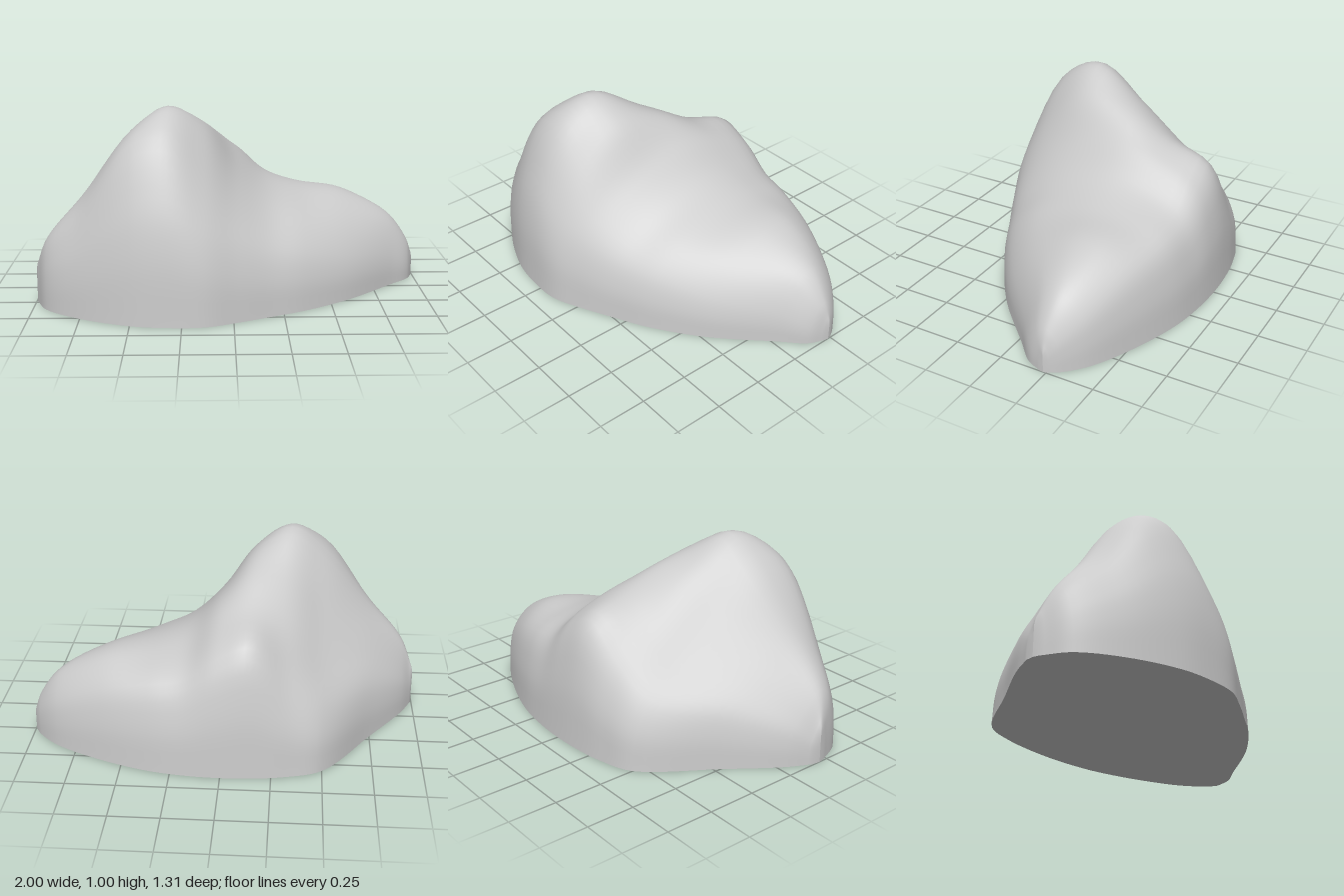
import * as THREE from 'three';

// Where the heights sit across each section, as fractions from back foot to front foot
const ACROSS = [0.09, 0.27, 0.45, 0.65, 0.82, 0.94];

// Cross-sections of the boulder: x, back foot z, front foot z, heights
const sections = [
  [-0.75, -0.22, 0.51, [0.27, 0.38, 0.48, 0.56, 0.51, 0.35]],
  [-0.5, -0.56, 0.62, [0.34, 0.49, 0.67, 0.88, 0.85, 0.57]],
  [-0.32, -0.625, 0.65, [0.48, 0.66, 0.84, 1, 0.89, 0.59]],
  [-0.14, -0.65, 0.645, [0.65, 0.74, 0.86, 0.9, 0.73, 0.48]],
  [0.02, -0.655, 0.58, [0.59, 0.7, 0.745, 0.69, 0.56, 0.39]],
  [0.18, -0.645, 0.5, [0.47, 0.57, 0.6, 0.55, 0.45, 0.32]],
  [0.36, -0.615, 0.405, [0.43, 0.51, 0.525, 0.48, 0.4, 0.28]],
  [0.6, -0.535, 0.23, [0.37, 0.47, 0.48, 0.425, 0.335, 0.22]],
  [0.85, -0.41, -0.02, [0.24, 0.325, 0.355, 0.325, 0.25, 0.16]],
];

const AROUND = 40;
const ALONG = 72;

// Smooth curve over one section, with a steep wall point next to each foot
function sectionPoints([x, back, front, heights]) {
  const top = heights.map((y, k) => new THREE.Vector3(x, y, THREE.MathUtils.lerp(back, front, ACROSS[k])));
  const wall = (footZ, shoulder) =>
    new THREE.Vector3(x, shoulder.y * 0.55, THREE.MathUtils.lerp(footZ, shoulder.z, 0.2));
  const curve = new THREE.CatmullRomCurve3([
    new THREE.Vector3(x, 0, back),
    wall(back, top[0]),
    ...top,
    wall(front, top[top.length - 1]),
    new THREE.Vector3(x, 0, front),
  ]);
  return Array.from({ length: AROUND + 1 }, (_, j) => curve.getPoint(j / AROUND));
}

// Shrunken copy of a section that rounds off an end
function endSection(points, x, zCentre, zScale, yScale) {
  return points.map((p) => new THREE.Vector3(x, p.y * yScale, zCentre + (p.z - zCentre) * zScale));
}

export function createModel() {
  const group = new THREE.Group();
  group.name = 'boulder';
  const material = new THREE.MeshStandardMaterial({ color: 0xcccccc, side: THREE.DoubleSide });

  // Sections joined lengthwise by smooth lines
  const inner = sections.map(sectionPoints);
  const first = inner[0];
  const last = inner[inner.length - 1];
  const rows = [
    endSection(first, -0.995, 0.2, 0.1, 0.34),
    endSection(first, -0.93, 0.25, 0.46, 0.62),
    ...inner,
    endSection(last, 0.96, -0.225, 0.46, 0.6),
    endSection(last, 0.995, -0.235, 0.12, 0.34),
  ];
  const lines = [];
  for (let j = 0; j <= AROUND; j++) {
    const line = new THREE.CatmullRomCurve3(rows.map((row) => row[j])).getPoints(ALONG);
    // Close both ends with a collapsed row
    line.unshift(new THREE.Vector3(-1, line[0].y * 0.8, 0.2));
    line.push(new THREE.Vector3(1, line[line.length - 1].y * 0.8, -0.235));
    lines.push(line);
  }

  // Rock surface
  const positions = [];
  const index = [];
  const stride = AROUND + 1;
  const count = lines[0].length;
  for (let i = 0; i < count; i++) {
    for (let j = 0; j <= AROUND; j++) {
      const p = lines[j][i];
      positions.push(p.x, Math.max(0, p.y), p.z);
      if (i < count - 1 && j < AROUND) {
        const a = i * stride + j;
        const b = a + stride;
        index.push(a, a + 1, b, a + 1, b + 1, b);
      }
    }
  }
  const geometry = new THREE.BufferGeometry();
  geometry.setAttribute('position', new THREE.Float32BufferAttribute(positions, 3));
  geometry.setIndex(index);
  geometry.computeVertexNormals();
  const rock = new THREE.Mesh(geometry, material);
  rock.name = 'rockSurface';
  group.add(rock);

  // Flat underside
  const outline = [...lines[0], ...lines[AROUND].slice(1, -1).reverse()];
  const baseShape = new THREE.Shape(outline.map((p) => new THREE.Vector2(p.x, p.z)));
  const base = new THREE.Mesh(new THREE.ShapeGeometry(baseShape).rotateX(Math.PI / 2), material);
  base.name = 'flatBase';
  group.add(base);

  return group;
}
